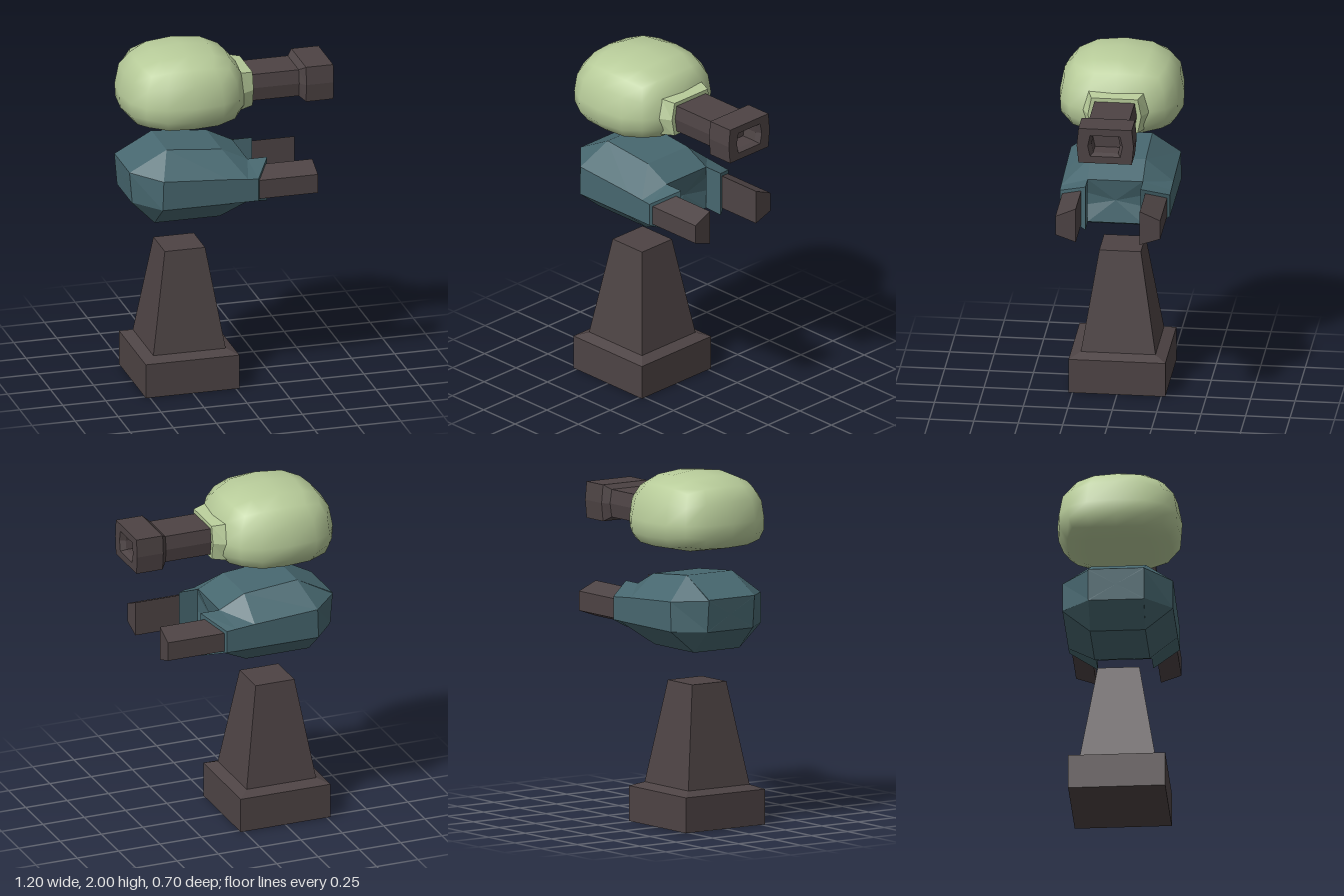
import * as THREE from 'three';
import { mergeVertices } from 'three/addons/utils/BufferGeometryUtils.js';

const flat = (color) => new THREE.MeshStandardMaterial({ color, flatShading: true });
const brown = flat(0x4d4344);
const teal = flat(0x47676f);
const green = flat(0xb8cc9a);
const greenSmooth = new THREE.MeshStandardMaterial({ color: 0xb8cc9a });

// Skin a list of rings (points [x, y, z]) running towards +x, closing both ends
function loft(rings) {
  const pos = [];
  const tri = (...pts) => pts.forEach((p) => pos.push(...p));
  const mid = (ring) => [0, 1, 2].map((k) => ring.reduce((s, p) => s + p[k], 0) / ring.length);
  const first = rings[0], last = rings[rings.length - 1], n = first.length;
  for (let i = 0; i < n; i++) {
    const j = (i + 1) % n;
    for (let r = 0; r < rings.length - 1; r++) {
      const a = rings[r], b = rings[r + 1];
      tri(a[i], a[j], b[j]);
      tri(a[i], b[j], b[i]);
    }
    tri(mid(first), first[j], first[i]);
    tri(mid(last), last[i], last[j]);
  }
  const g = new THREE.BufferGeometry();
  g.setAttribute('position', new THREE.Float32BufferAttribute(pos, 3));
  g.computeVertexNormals();
  return g;
}

const mirrorZ = (ring) => ring.map(([x, y, z]) => [x, y, -z]).reverse();

// Hexagonal ring across x: half height, half width at top and bottom, half width in the middle
function hexRing([x, h, w, m]) {
  const y = 1.733;
  return [[x, y + h, w], [x, y, m], [x, y - h, w], [x, y - h, -w], [x, y, -m], [x, y + h, -w]];
}

// Rounded shell: a projected cube, boxier below than above
function domeGeometry() {
  const box = new THREE.BoxGeometry(2, 2, 2, 4, 4, 4);
  box.deleteAttribute('uv');
  box.deleteAttribute('normal');
  const g = mergeVertices(box);
  const p = g.attributes.position;
  for (let i = 0; i < p.count; i++) {
    const x = p.getX(i), y = p.getY(i), z = p.getZ(i);
    const across = (Math.abs(x) ** 2.67 + Math.abs(z) ** 2.67) ** (1 / 2.67);
    const e = y > 0 ? 2.4 : 4;
    const size = (across ** e + Math.abs(y) ** e) ** (1 / e);
    p.setXYZ(i, -0.25 + (0.35 * x) / size, 1.733 + ((y > 0 ? 0.267 : 0.168) * y) / size, (0.35 * z) / size);
  }
  g.computeVertexNormals();
  return g;
}

export function createModel() {
  const model = new THREE.Group();
  const group = (name) => {
    const g = new THREE.Group();
    g.name = name;
    model.add(g);
    return g;
  };
  const add = (parent, name, geometry, material) => {
    const mesh = new THREE.Mesh(geometry, material);
    mesh.name = name;
    parent.add(mesh);
  };

  // Square pedestal: half width and height at the bottom and top of each block
  const pedestal = group('pedestal');
  const block = (name, w0, y0, w1, y1) => {
    const g = new THREE.CylinderGeometry(w1 * Math.SQRT2, w0 * Math.SQRT2, y1 - y0, 4);
    g.rotateY(Math.PI / 4).translate(-0.252, (y0 + y1) / 2, 0);
    add(pedestal, name, g, brown);
  };
  block('plinth', 0.272, 0, 0.272, 0.2);
  block('plinthBevel', 0.272, 0.2, 0.21, 0.225);
  block('column', 0.21, 0.225, 0.117, 0.805);

  // Faceted hull: the +z half of each ring, from top edge to bottom edge
  const hull = group('hull');
  const halves = [
    [[-0.585, 1.315, 0.155], [-0.585, 1.31, 0.156], [-0.57, 1.135, 0.156], [-0.57, 1.13, 0.155]],
    [[-0.37, 1.43, 0.155], [-0.43, 1.3, 0.31], [-0.435, 1.13, 0.31], [-0.44, 1.0, 0.155]],
    [[-0.05, 1.4, 0.155], [-0.05, 1.275, 0.31], [-0.05, 1.13, 0.31], [-0.06, 1.0, 0.155]],
    [[0.1, 1.325, 0.155], [0.06, 1.265, 0.31], [0.06, 1.13, 0.31], [0.1, 1.07, 0.155]],
  ];
  add(hull, 'hullShell', loft(halves.map((h) => [...h, ...mirrorZ(h)])), teal);

  // Slanted side cheeks, each holding a gun barrel
  const cheek = [halves[3], [[0.215, 1.325, 0.155], [0.12, 1.26, 0.31], [0.12, 1.13, 0.31], [0.215, 1.065, 0.155]]];
  const barrel = [0.1, 0.47].map((x) => [[x, 1.295, 0.18], [x, 1.245, 0.295], [x, 1.135, 0.295], [x, 1.095, 0.18]]);
  for (const [side, place] of [['front', (r) => r], ['back', mirrorZ]]) {
    add(hull, side + 'Cheek', loft(cheek.map(place)), teal);
    add(hull, side + 'Barrel', loft(barrel.map(place)), brown);
  }

  // Dome head with its collar and cannon
  const head = group('head');
  add(head, 'dome', domeGeometry(), greenSmooth);
  add(head, 'collar', loft([
    [-0.02, 0.12, 0.17, 0.22],
    [0.06, 0.11, 0.155, 0.19],
    [0.137, 0.1, 0.13, 0.15],
  ].map(hexRing)), green);
  add(head, 'cannon', loft([
    [0.1, 0.078, 0.113, 0.125],
    [0.41, 0.078, 0.113, 0.125],
    [0.442, 0.103, 0.15, 0.16],
    [0.6, 0.103, 0.15, 0.16],
    [0.6, 0.062, 0.085, 0.098],
    [0.57, 0.05, 0.07, 0.08],
    [0.48, 0.05, 0.07, 0.08],
  ].map(hexRing)), brown);

  return model;
}
